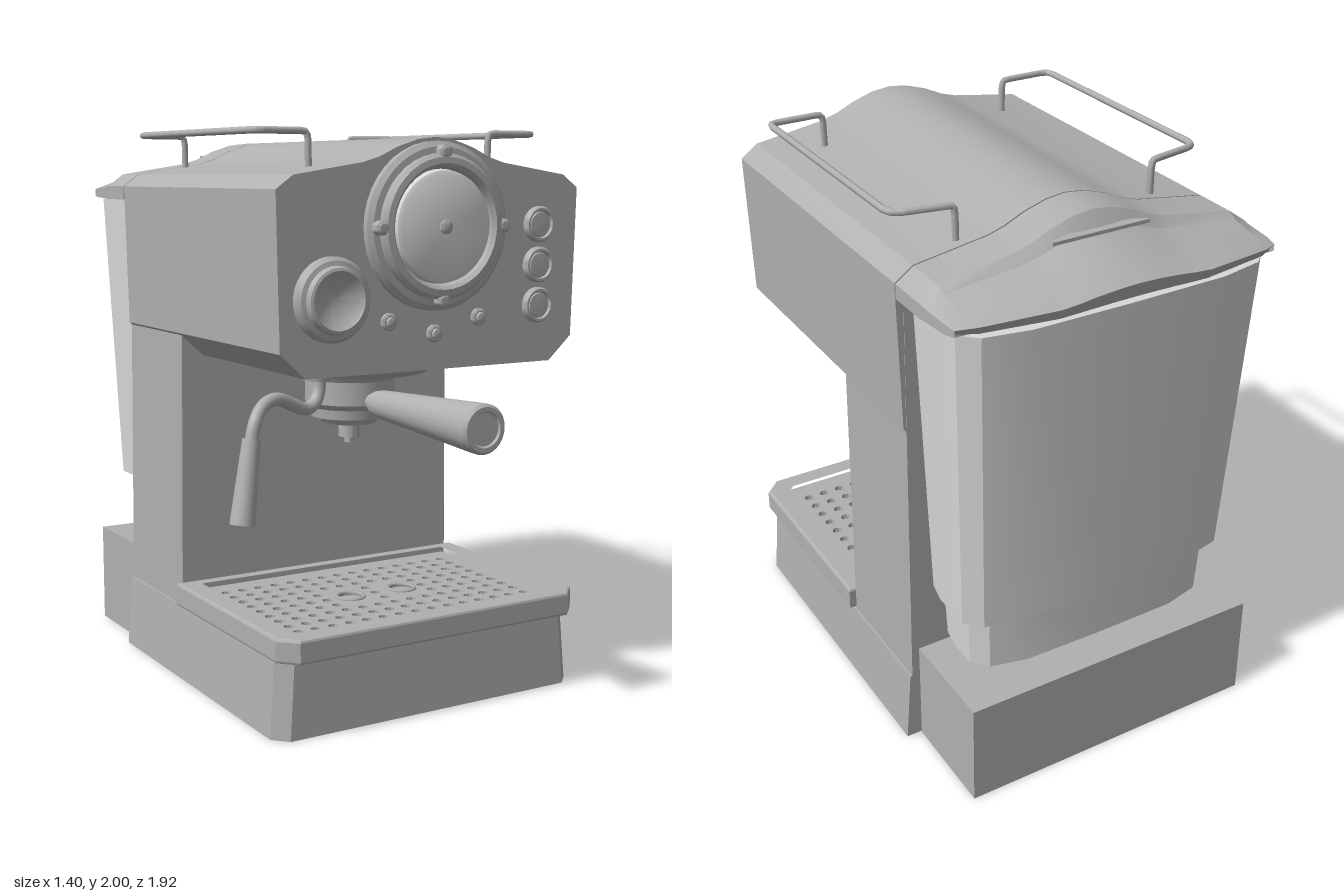
import * as THREE from 'three';
import { toCreasedNormals } from 'three/addons/utils/BufferGeometryUtils.js';

const bodyMat = new THREE.MeshStandardMaterial({ color: 0xb0b0b0 });
bodyMat.name = 'grey metal';
const clearMat = new THREE.MeshStandardMaterial({ color: 0xd8d8d8 });
clearMat.name = 'pale tank';

// Closed solid through rings of equal point count, capped at both ends
function loft(rings, crease = 0.45) {
  const pos = [], n = rings[0].length;
  const tri = (...p) => p.forEach((q) => pos.push(...q));
  for (let s = 0; s < rings.length - 1; s++) {
    for (let i = 0; i < n; i++) {
      const j = (i + 1) % n, a = rings[s], b = rings[s + 1];
      tri(a[i], a[j], b[j]);
      tri(a[i], b[j], b[i]);
    }
  }
  const cap = (r, flip) => {
    const c = [0, 1, 2].map((k) => r.reduce((t, p) => t + p[k], 0) / n);
    for (let i = 0; i < n; i++) {
      const j = (i + 1) % n;
      if (flip) tri(c, r[j], r[i]); else tri(c, r[i], r[j]);
    }
  };
  cap(rings[0], true);
  cap(rings[rings.length - 1], false);
  // Turn the faces outward when the enclosed volume is negative
  const v = (k) => new THREE.Vector3().fromArray(pos, k);
  let vol = 0;
  for (let k = 0; k < pos.length; k += 9) vol += v(k).dot(v(k + 3).cross(v(k + 6)));
  if (vol < 0) {
    for (let k = 0; k < pos.length; k += 9) {
      for (let m = 0; m < 3; m++) [pos[k + m], pos[k + 3 + m]] = [pos[k + 3 + m], pos[k + m]];
    }
  }
  const g = new THREE.BufferGeometry();
  g.setAttribute('position', new THREE.Float32BufferAttribute(pos, 3));
  return toCreasedNormals(g, crease);
}

const mirror = (half) => [...half, ...half.filter((p) => p[0] > 0).reverse().map(([x, ...r]) => [-x, ...r])];
const lathe = (pts, seg = 40) =>
  toCreasedNormals(new THREE.LatheGeometry(pts.map((p) => new THREE.Vector2(...p)), seg), 0.5);
const tube = (pts, r, tension = 0.5) => new THREE.TubeGeometry(
  new THREE.CatmullRomCurve3(pts.map((p) => new THREE.Vector3(...p)), false, 'catmullrom', tension), 60, r, 10);

// Rectangle in plan with chamfered front corners
const plan = (w, front, back, c, y) =>
  [[w, back], [w, front - c], [w - c, front], [c - w, front], [-w, front - c], [-w, back]].map(([x, z]) => [x, y, z]);
const planShape = (w, front, back, c) =>
  new THREE.Shape(plan(w, front, back, c, 0).map(([x, , z]) => new THREE.Vector2(x, -z)));

export function createModel() {
  const root = new THREE.Group();
  root.name = 'espressoMachine';
  const machine = new THREE.Group();
  machine.name = 'machine';
  machine.position.x = 0.072;
  root.add(machine);
  const add = (name, geo, x = 0, y = 0, z = 0, mat = bodyMat) => {
    const m = new THREE.Mesh(geo, mat);
    m.name = name;
    m.position.set(x, y, z);
    machine.add(m);
    return m;
  };
  // Turned part on the front panel, axis along z
  const dialPart = (name, pts, x, y, mat) => add(name, lathe(pts).rotateX(Math.PI / 2), x, y, 0.655, mat);

  // Base, column and rear foot
  add('base', loft([plan(0.62, 0.69, -0.545, 0.05, 0), plan(0.6, 0.68, -0.545, 0.05, 0.268)]));
  add('column', loft([plan(0.592, -0.095, -0.545, 0.003, 0.26), plan(0.575, -0.095, -0.545, 0.003, 1.75)]));
  add('rearFoot', new THREE.BoxGeometry(1.13, 0.385, 0.38), 0, 0.1925, -0.74);

  // Head with a raised crown
  const crown = [[0, 1.968], [0.07, 1.96], [0.15, 1.935], [0.22, 1.903], [0.28, 1.885], [0.54, 1.845], [0.603, 1.8]];
  const headRing = mirror([...crown, [0.59, 1.28], [0.495, 1.195]]);
  add('head', loft([0.66, -0.543].map((z) => headRing.map(([x, y]) => [x, y, z]))));

  // Drip tray rim with a sunken perforated grate
  const rim = planShape(0.615, 0.73, -0.093, 0.06);
  rim.holes.push(new THREE.Path(plan(0.545, 0.665, -0.05, 0.03, 0).map(([x, , z]) => new THREE.Vector2(x, -z))));
  add('trayRim', new THREE.ExtrudeGeometry(rim, {
    depth: 0.066, bevelThickness: 0.01, bevelSize: 0.01, bevelOffset: -0.01, bevelSegments: 2,
  }).rotateX(-Math.PI / 2), 0, 0.278, 0);
  const grate = planShape(0.55, 0.67, -0.055, 0.03);
  const cups = [-0.11, 0.11];
  const hole = (x, z, r, seg) => {
    const pts = [];
    for (let i = 0; i < seg; i++) {
      const a = (i / seg) * Math.PI * 2;
      pts.push(new THREE.Vector2(x + r * Math.cos(a), -z + r * Math.sin(a)));
    }
    grate.holes.push(new THREE.Path(pts));
  };
  for (let i = -7; i <= 7; i++) {
    for (let j = 0; j < 9; j++) {
      const x = i * 0.068, z = 0.04 + j * 0.067;
      if (cups.every((c) => Math.hypot(x - c, z - 0.31) > 0.085)) hole(x, z, 0.019, 8);
    }
  }
  cups.forEach((c) => hole(c, 0.31, 0.045, 20));
  add('trayGrate', new THREE.ExtrudeGeometry(grate, { depth: 0.02, bevelEnabled: false })
    .rotateX(-Math.PI / 2), 0, 0.31, 0);
  cups.forEach((c) => {
    add('grateRing', new THREE.TorusGeometry(0.05, 0.008, 6, 24).rotateX(Math.PI / 2), c, 0.331, 0.31);
    add('grateCup', new THREE.CylinderGeometry(0.045, 0.045, 0.02, 20), c, 0.312, 0.31);
  });

  // Large pressure gauge
  dialPart('gaugeRing', [[0.28, 0], [0.28, 0.025], [0.262, 0.038], [0.24, 0.04], [0.24, 0.058], [0.228, 0.07],
    [0.207, 0.072], [0.195, 0.06], [0.188, 0.03]], 0, 1.675);
  dialPart('gaugeFace', [[0.19, 0.03], [0.184, 0.06], [0.17, 0.067], [0, 0.069]], 0, 1.675, clearMat);
  dialPart('gaugeHub', [[0.024, 0.06], [0.024, 0.075], [0.014, 0.081], [0, 0.082]], 0, 1.675);
  for (let i = 0; i < 4; i++) {
    const a = (i * Math.PI) / 2;
    dialPart('gaugeLug', [[0.024, 0], [0.024, 0.065], [0.014, 0.072], [0, 0.073]],
      0.243 * Math.cos(a), 1.675 + 0.243 * Math.sin(a));
  }

  // Steam dial, push buttons and indicator lamps
  dialPart('steamDial', [[0.14, 0], [0.14, 0.022], [0.128, 0.036], [0.112, 0.04], [0.106, 0.06], [0.096, 0.063],
    [0.088, 0.055], [0.06, 0.038], [0.03, 0.028], [0, 0.025]], -0.402, 1.447);
  for (const y of [1.675, 1.535, 1.395]) {
    dialPart('pushButton', [[0.062, 0], [0.062, 0.02], [0.056, 0.028], [0.048, 0.028], [0.046, 0.016], [0.042, 0.016],
      [0.04, 0.022], [0, 0.024]], 0.433, y);
  }
  for (const [x, y] of [[-0.182, 1.365], [0, 1.318], [0.182, 1.365]]) {
    dialPart('indicatorLamp', [[0.03, 0], [0.03, 0.015], [0.022, 0.02], [0.017, 0.02], [0.015, 0.03], [0, 0.034]], x, y);
  }

  // Brew group, spout and handle
  add('brewGroup', lathe([[0, 0.862], [0.018, 0.862], [0.018, 0.885], [0.04, 0.885], [0.04, 0.94], [0.1, 0.94],
    [0.115, 0.96], [0.142, 0.965], [0.147, 1.0], [0.165, 1.02], [0.165, 1.105], [0.18, 1.13], [0.285, 1.135],
    [0.315, 1.16], [0.318, 1.2]]), 0, 0, 0.12);
  add('handleNeck', new THREE.CylinderGeometry(0.033, 0.033, 0.1, 20).rotateX(Math.PI / 2), 0, 1.033, 0.3);
  add('brewHandle', lathe([[0, 0.315], [0.045, 0.315], [0.052, 0.36], [0.084, 0.93], [0.084, 0.95], [0.075, 0.96],
    [0.06, 0.96], [0.055, 0.953], [0, 0.953]], 28).rotateX(Math.PI / 2), 0, 1.033, 0);

  // Steam wand with its grip
  add('wandSocket', new THREE.CylinderGeometry(0.056, 0.05, 0.03, 20), -0.385, 1.188, 0.55);
  add('steamWand', tube([[-0.38, 1.2, 0.548], [-0.382, 1.14, 0.55], [-0.405, 1.098, 0.56], [-0.45, 1.085, 0.575],
    [-0.51, 1.107, 0.595], [-0.575, 1.132, 0.615], [-0.64, 1.118, 0.64], [-0.68, 1.07, 0.66], [-0.7, 1.0, 0.668]], 0.022));
  const top = new THREE.Vector3(-0.694, 1.02, 0.662), low = new THREE.Vector3(-0.743, 0.752, 0.69);
  const grip = add('wandGrip', new THREE.CylinderGeometry(0.03, 0.042, top.distanceTo(low), 20));
  grip.position.copy(top).add(low).multiplyScalar(0.5);
  grip.quaternion.setFromUnitVectors(new THREE.Vector3(0, 1, 0), top.clone().sub(low).normalize());

  // Cup rails on both sides of the roof
  for (const s of [-1, 1]) {
    const path = [[0.365, 1.84, 0.452], [0.367, 1.96, 0.452], [0.372, 1.985, 0.452], [0.395, 1.988, 0.452],
      [0.54, 1.988, 0.452], [0.562, 1.988, 0.445], [0.57, 1.988, 0.42], [0.57, 1.988, -0.42], [0.56, 1.988, -0.455],
      [0.53, 1.988, -0.47], [0.395, 1.988, -0.496], [0.372, 1.985, -0.498], [0.367, 1.96, -0.498], [0.365, 1.84, -0.498]];
    const curve = new THREE.CurvePath();
    for (let i = 1; i < path.length; i++) {
      const [a, b] = [path[i - 1], path[i]].map(([x, y, z]) => new THREE.Vector3(s * x, y, z));
      curve.add(new THREE.LineCurve3(a, b));
    }
    add('cupRail', new THREE.TubeGeometry(curve, 160, 0.012, 8));
  }

  // Water tank with bowed back, and its narrower neck
  const tankRing = (w, front, back, y) => mirror([[0, back], [0.62 * w, back + 0.004], [0.9 * w, back + 0.035],
    [w, back + 0.09], [w, front + -0.08], [0.97 * w, front]]).map(([x, z]) => [x, y, z]);
  add('waterTank', loft([tankRing(0.525, -0.565, -0.88, 0.645), tankRing(0.565, -0.55, -0.935, 1.75)], 0.3),
    0, 0, 0, clearMat);
  add('tankNeck', loft([tankRing(0.475, -0.57, -0.84, 0.43), tankRing(0.485, -0.565, -0.85, 0.65)], 0.3),
    0, 0, 0, clearMat);

  // Tank lid continuing the roof and sloping down at the rear
  const lidRing = (z, peak, side, w, low, bow) => mirror([...crown, [0.603, 0]]).map(([x, y]) => {
    const a = Math.abs(x) / 0.603;
    const h = y === 0 ? low : side + ((y - 1.8) / 0.168) * (peak - side);
    return [x * w, h, z + bow * Math.max(0, a - 0.6) ** 2];
  });
  add('tankLid', loft([
    lidRing(-0.549, 1.968, 1.8, 1, 1.75, 0),
    lidRing(-0.7, 1.968, 1.8, 1, 1.75, 0),
    lidRing(-0.735, 1.915, 1.795, 0.995, 1.752, 0),
    lidRing(-0.85, 1.868, 1.79, 0.985, 1.755, 0.1),
    lidRing(-0.96, 1.825, 1.785, 0.97, 1.762, 0.5),
    lidRing(-0.945, 1.775, 1.765, 0.96, 1.755, 0.5),
  ], 0.35));
  const tab = new THREE.Shape();
  tab.absellipse(0, 0, 0.178, 0.04, 0, Math.PI, false);
  add('lidFingerTab', new THREE.ExtrudeGeometry(tab, { depth: 0.012, bevelEnabled: false })
    .rotateX(Math.PI / 2), 0, 1.918, -0.758);

  return root;
}
